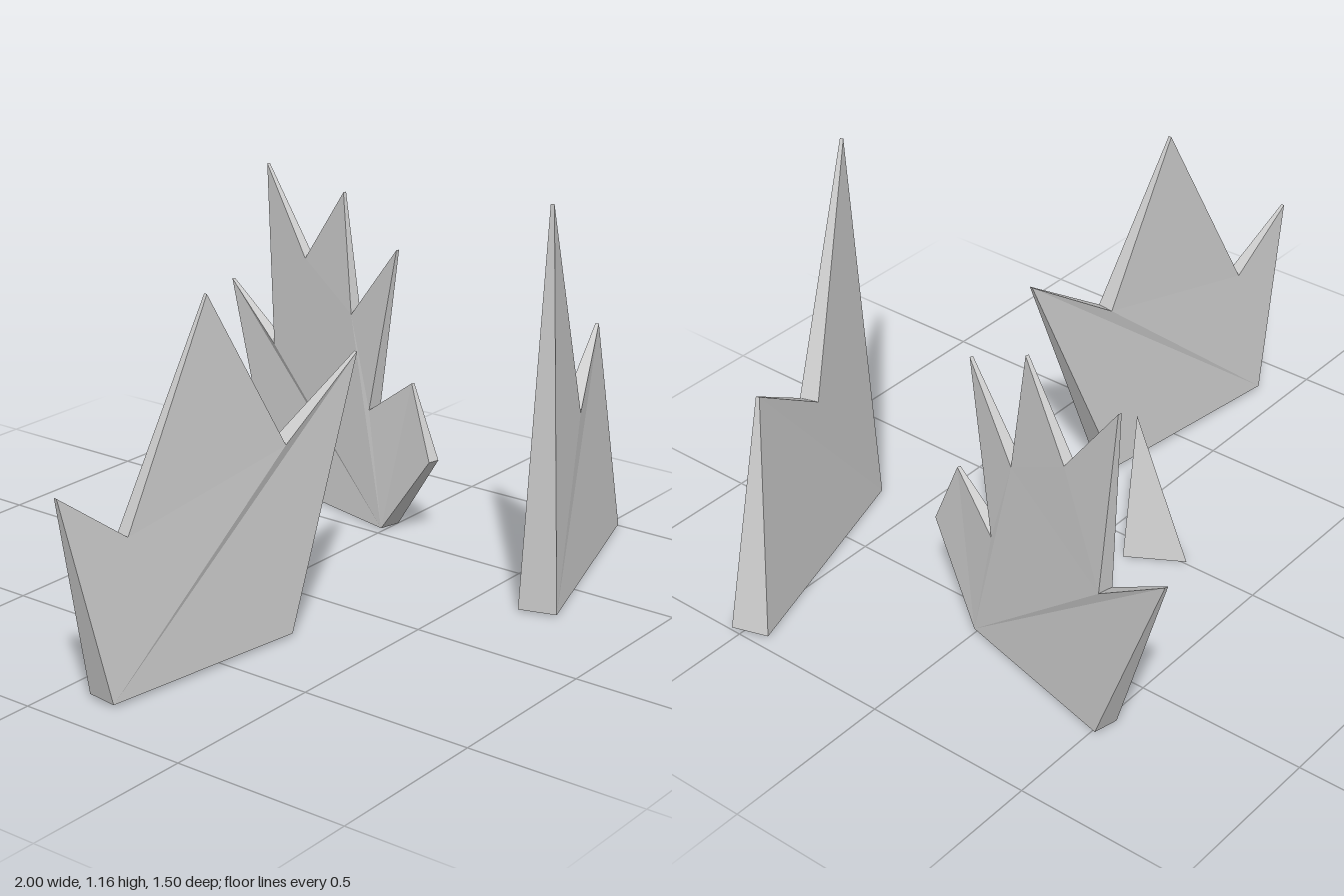
import * as THREE from 'three';

const material = new THREE.MeshStandardMaterial({ color: 0xcccccc, flatShading: true });

function meshFrom(name, positions) {
  const geometry = new THREE.BufferGeometry();
  geometry.setAttribute('position', new THREE.Float32BufferAttribute(positions, 3));
  geometry.computeVertexNormals();
  const mesh = new THREE.Mesh(geometry, material);
  mesh.name = name;
  return mesh;
}

// Upright jagged slab along a ground line. Each outline point is
// [distance along the line, height, half thickness], counter-clockwise.
function spikySlab(name, [ox, oz], [dx, dz], outline) {
  const length = Math.hypot(dx, dz);
  const corner = (i, side) => {
    const [u, y, half] = outline[i % outline.length];
    const t = (side * half) / length;
    return [ox + u * dx - t * dz, y, oz + u * dz + t * dx];
  };
  const positions = [];
  const triangle = (a, b, c) => positions.push(...a, ...b, ...c);

  // Front and back faces
  const flat = outline.map(([u, y]) => new THREE.Vector2(u, y));
  for (const [a, b, c] of THREE.ShapeUtils.triangulateShape(flat, [])) {
    triangle(corner(a, 1), corner(b, 1), corner(c, 1));
    triangle(corner(c, -1), corner(b, -1), corner(a, -1));
  }
  // Rim that thins towards the tips
  for (let i = 0; i < outline.length; i++) {
    triangle(corner(i, 1), corner(i, -1), corner(i + 1, -1));
    triangle(corner(i, 1), corner(i + 1, -1), corner(i + 1, 1));
  }
  return meshFrom(name, positions);
}

export function createModel() {
  const model = new THREE.Group();
  model.name = 'crystalShards';
  const tip = 0.005;

  // Slab with three points
  model.add(spikySlab('threePointShard', [0, 0.249], [1, 0.131], [
    [-0.87, 0.015, 0.046], [-0.243, 0.015, 0.046], [0.035, 0.74, tip], [-0.25, 0.55, 0.026],
    [-0.505, 1.01, tip], [-0.79, 0.44, 0.02], [-1, 0.595, tip],
  ]));

  // Slab with two points
  model.add(spikySlab('twoPointShard', [0, 0.787], [1, -0.314], [
    [0.289, 0.01, 0.055], [0.98, 0.01, 0.055], [0.83, 0.68, tip],
    [0.57, 0.5, 0.028], [0.29, 1.165, tip],
  ]));

  // Slab with five points and a blunt side corner
  model.add(spikySlab('fivePointShard', [0.56, 0], [0.24, -1], [
    [0, 0.01, 0.034], [0.52, 0.01, 0.036], [0.75, 0.61, tip], [0.52, 0.455, 0.022],
    [0.575, 1.015, tip], [0.38, 0.76, 0.016], [0.22, 0.995, tip], [0.165, 0.635, 0.018],
    [-0.015, 0.87, tip], [0.075, 0.36, 0.022], [-0.09, 0.485, tip], [-0.185, 0.27, 0.018],
  ]));

  // Small three-sided spike leaning forward
  const left = [0.083, 0.005, -0.108];
  const right = [-0.098, 0.005, -0.108];
  const back = [-0.008, 0.005, -0.265];
  const apex = [-0.008, 0.43, -0.086];
  const faces = [[right, left, apex], [left, back, apex], [back, right, apex], [left, right, back]];
  model.add(meshFrom('smallSpike', faces.flat(2)));

  return model;
}
